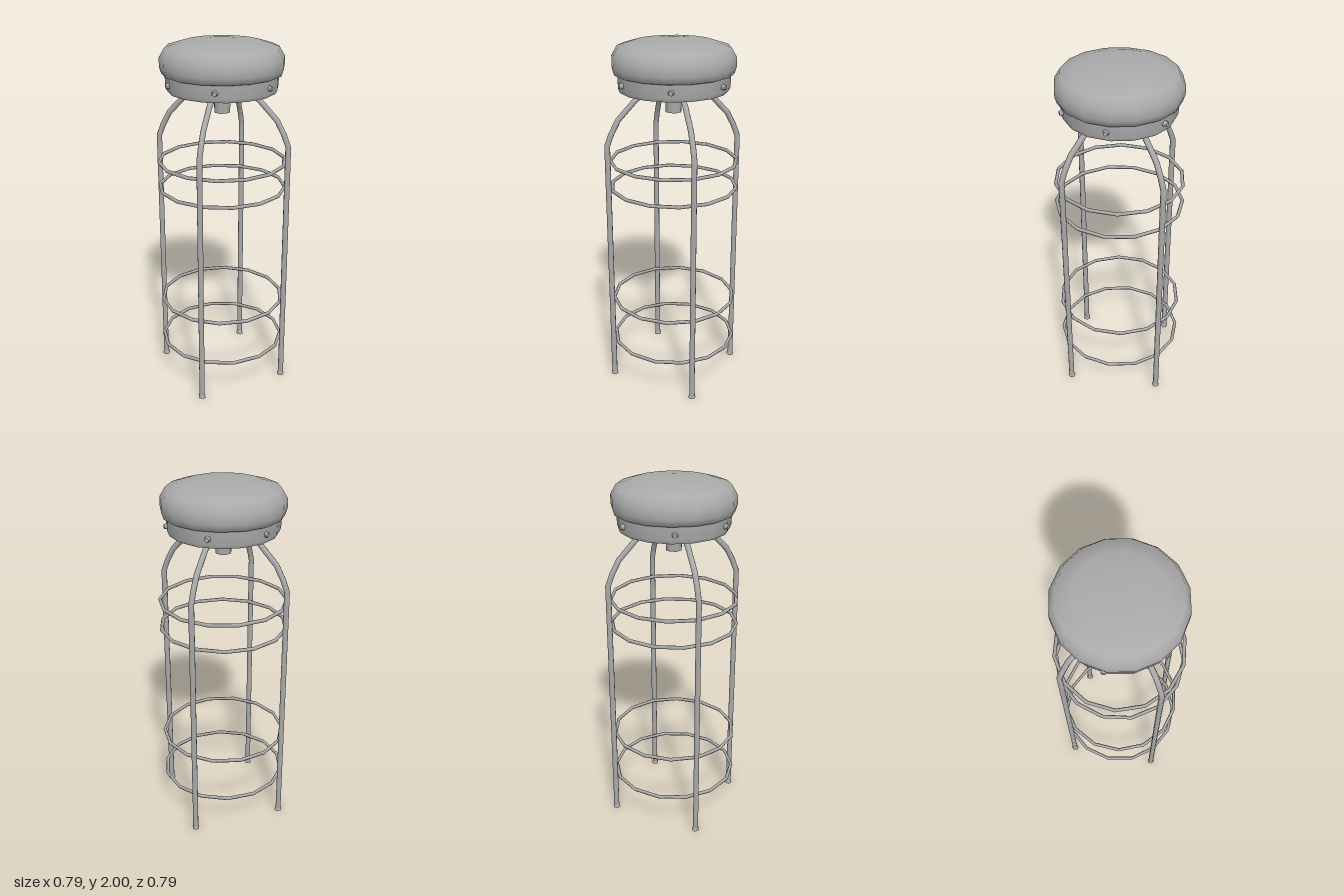
import * as THREE from 'three';

// Straight-segment path whose tube rings fall exactly on the given points
class Polyline extends THREE.Curve {
  constructor(points) {
    super();
    this.points = points;
  }
  getPoint(t, target = new THREE.Vector3()) {
    const last = this.points.length - 1;
    const s = THREE.MathUtils.clamp(t, 0, 1) * last;
    const i = Math.min(Math.floor(s), last - 1);
    return target.lerpVectors(this.points[i], this.points[i + 1], s - i);
  }
  getPointAt(t, target) { return this.getPoint(t, target); }
  getTangentAt(t, target) { return this.getTangent(t, target); }
}

export function createModel() {
  const stool = new THREE.Group();
  stool.name = 'barStool';
  const grey = new THREE.MeshStandardMaterial({ color: 0xaaaaaa });
  grey.name = 'grey';

  const add = (name, geometry, parent = stool) => {
    const mesh = new THREE.Mesh(geometry, grey);
    mesh.name = name;
    parent.add(mesh);
    return mesh;
  };
  const lathe = (points, sides) =>
    new THREE.LatheGeometry(points.map(([r, y]) => new THREE.Vector2(r, y)), sides);

  // Padded seat, profile running from below to the top centre
  add('seatCushion', lathe([
    [0.29, 1.815], [0.325, 1.825], [0.336, 1.86], [0.336, 1.91],
    [0.305, 1.962], [0.22, 1.988], [0.1, 1.999], [0, 2],
  ], 16));

  // Band below the cushion, its rolled lower rim and the recessed underside
  add('seatBand', lathe([[0.295, 1.73], [0.305, 1.75], [0.308, 1.822]], 16));
  add('seatRim', lathe([[0.24, 1.765], [0.25, 1.735], [0.295, 1.73]], 16));
  add('seatUnderside', lathe([[0, 1.765], [0.24, 1.765]], 16));

  // Upholstery studs around the band
  for (let i = 0; i < 6; i++) {
    const pivot = new THREE.Group();
    pivot.name = 'stud';
    pivot.rotation.y = THREE.MathUtils.degToRad(11 + 60 * i);
    const stud = add('studHead', new THREE.CylinderGeometry(0.012, 0.019, 0.025, 6), pivot);
    stud.rotation.x = Math.PI / 2;
    stud.position.set(0, 1.78, 0.308);
    stool.add(pivot);
  }

  // Central hub and crossed mounting plates
  add('hub', new THREE.CylinderGeometry(0.05, 0.045, 0.155, 8)).position.y = 1.6875;
  for (const angle of [0, Math.PI / 2]) {
    const plate = add('mountingPlate', new THREE.BoxGeometry(0.3, 0.02, 0.09));
    plate.position.y = 1.757;
    plate.rotation.y = angle;
  }

  // Four bent legs with flared feet
  const legPath = new Polyline([
    [0.03, 1.735], [0.13, 1.735], [0.21, 1.69], [0.31, 1.585],
    [0.35, 1.51], [0.375, 1.445], [0.375, 1.36], [0.375, 0.01],
  ].map(([x, y]) => new THREE.Vector3(x, y, 0)));
  const legGeometry = new THREE.TubeGeometry(legPath, 7, 0.016, 8);
  const footGeometry = new THREE.CylinderGeometry(0.016, 0.022, 0.024, 6);
  for (let i = 0; i < 4; i++) {
    const leg = new THREE.Group();
    leg.name = 'leg';
    leg.rotation.y = i * Math.PI / 2;
    add('legTube', legGeometry, leg);
    add('foot', footGeometry, leg).position.set(0.374, 0.012, 0);
    stool.add(leg);
  }

  // Brace rings, with a few flat sides like bent rod
  [1.335, 1.185, 0.49, 0.228].forEach((y, i) => {
    const ring = add('braceRing', new THREE.TorusGeometry(0.353, 0.01, 6, 14));
    ring.rotation.set(Math.PI / 2, 0, i * 0.2);
    ring.position.y = y;
  });

  return stool;
}
